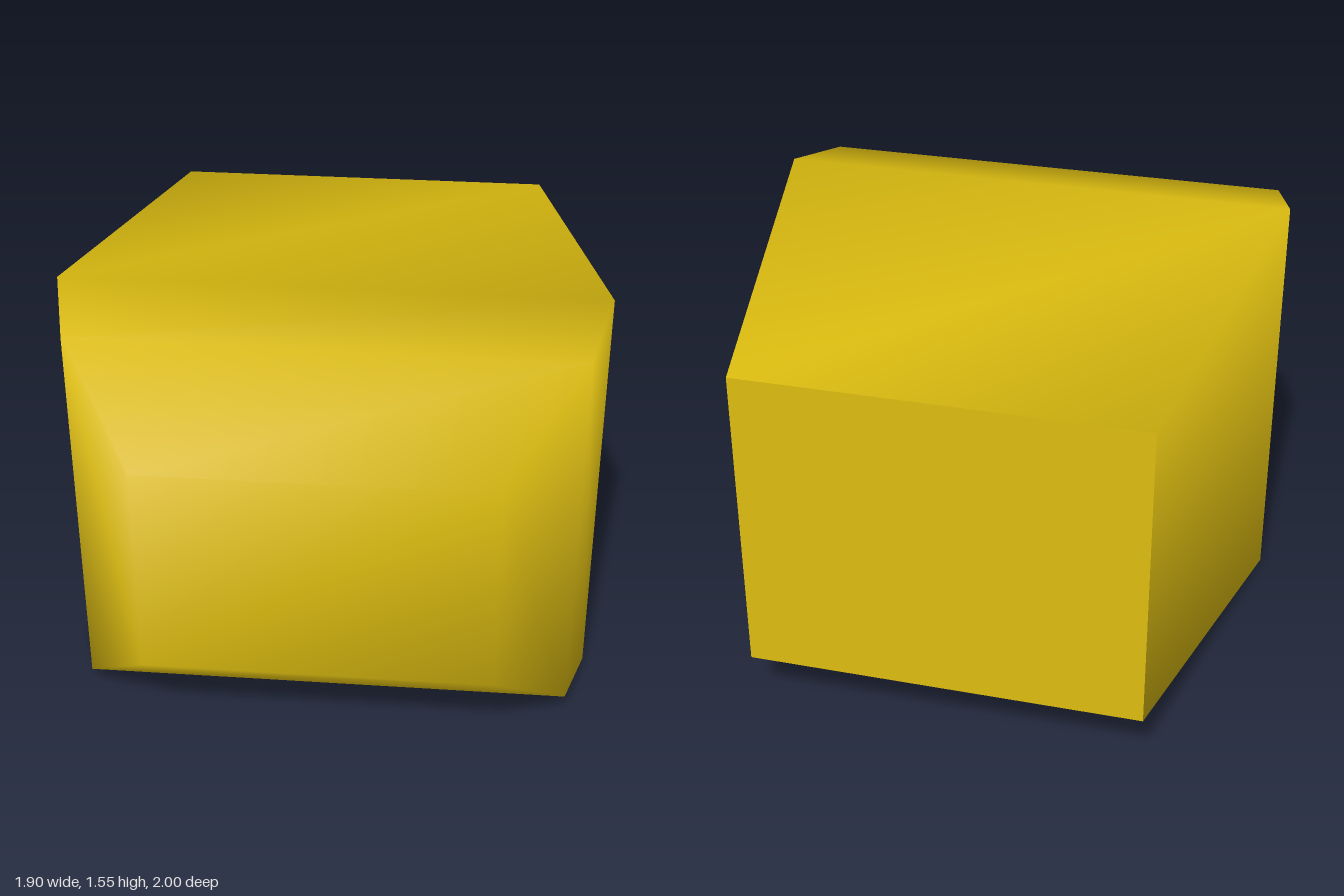
import * as THREE from 'three';

// Rectangular cross-sections from back to front: z, half width, bottom, top
const SECTIONS = [
  [-0.986, 0.712, 0.2, 1.35],
  [0.35, 0.952, 0, 1.55],
  [0.66, 0.876, 0.07, 1.485],
  [0.985, 0.61, 0.38, 1.175],
];

// Smooth shell: four corners per section, closed at the front
function shellGeometry() {
  const positions = [];
  const index = [];
  for (const [z, w, bottom, top] of SECTIONS) {
    positions.push(-w, bottom, z, w, bottom, z, w, top, z, -w, top, z);
  }
  for (let s = 0; s < SECTIONS.length - 1; s++) {
    for (let i = 0; i < 4; i++) {
      const a = s * 4 + i;
      const b = s * 4 + ((i + 1) % 4);
      index.push(a, b, b + 4, a, b + 4, a + 4);
    }
  }
  const f = (SECTIONS.length - 1) * 4;
  index.push(f, f + 1, f + 2, f, f + 2, f + 3);

  const geometry = new THREE.BufferGeometry();
  geometry.setAttribute('position', new THREE.Float32BufferAttribute(positions, 3));
  geometry.setIndex(index);
  geometry.computeVertexNormals();
  return geometry;
}

export function createModel() {
  const gold = new THREE.MeshStandardMaterial({ color: 0xdcbc10 });
  gold.name = 'gold';

  const body = new THREE.Group();
  body.name = 'body';
  body.rotation.y = 0.019; // slight turn of the whole block

  const shell = new THREE.Mesh(shellGeometry(), gold);
  shell.name = 'shell';
  body.add(shell);

  // Flat, sharp-edged back panel
  const [z, w, bottom, top] = SECTIONS[0];
  const backPanel = new THREE.Mesh(new THREE.PlaneGeometry(w * 2, top - bottom), gold);
  backPanel.name = 'backPanel';
  backPanel.rotation.y = Math.PI;
  backPanel.position.set(0, (top + bottom) / 2, z);
  body.add(backPanel);

  const model = new THREE.Group();
  model.name = 'taperedBlock';
  model.add(body);
  return model;
}
